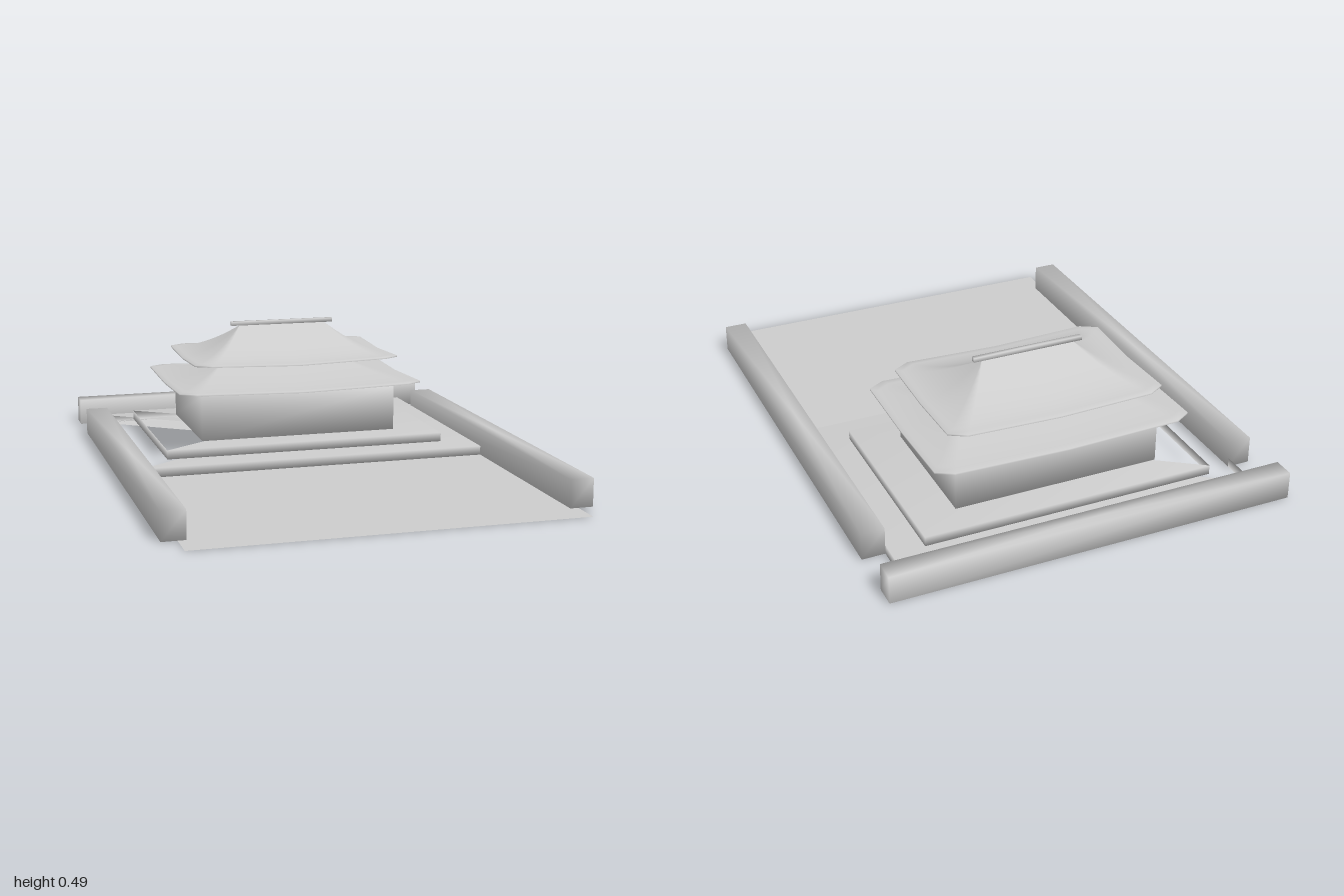
import * as THREE from 'three';

const CZ = -0.425; // depth of the hall's centre

function meshFrom(name, positions, index, material) {
  const g = new THREE.BufferGeometry();
  g.setAttribute('position', new THREE.Float32BufferAttribute(positions, 3));
  g.setIndex(index);
  g.computeVertexNormals();
  const m = new THREE.Mesh(g, material);
  m.name = name;
  return m;
}

// Softly shaded slab with fan caps; openWest leaves out the -x cap wedge
function slab(name, [x0, x1], [y0, y1], [z0, z1], material, openWest = false) {
  const corners = [[x0, z0], [x0, z1], [x1, z1], [x1, z0]];
  const pos = [], idx = [];
  for (const y of [y0, y1]) {
    for (const [x, z] of corners) pos.push(x, y, z);
    pos.push((x0 + x1) / 2, y, (z0 + z1) / 2);
  }
  for (let i = 0; i < 4; i++) {
    const j = (i + 1) % 4;
    idx.push(i, j, j + 5, i, j + 5, i + 5);
    if (openWest && i === 0) continue;
    idx.push(i + 5, j + 5, 9, j, i, 4);
  }
  return meshFrom(name, pos, idx, material);
}

// Concave hipped roof: chamfered eave rings shrinking to a ridge line
function hipRoof(name, { hx, hz, ridge, eaveY, topY, power }, material) {
  const pos = [], idx = [], steps = 12, n = 12;
  const ring = (t, drop) => {
    const w = THREE.MathUtils.lerp(hx, ridge, t), d = hz * (1 - t);
    const cx = 0.06 * (1 - t), cz = 0.035 * (1 - t);
    const y = eaveY + (topY - eaveY) * Math.pow(t, power) - drop;
    const lift = 0.005 * (1 - t);
    const points = [
      [-w, -d + cz, 1], [-w, 0, -1], [-w, d - cz, 1],
      [-w + cx, d, 1], [0, d, -1], [w - cx, d, 1],
      [w, d - cz, 1], [w, 0, -1], [w, -d + cz, 1],
      [w - cx, -d, 1], [0, -d, -1], [-w + cx, -d, 1],
    ];
    for (const [x, z, s] of points) pos.push(x, y + s * lift, CZ + z);
  };
  ring(0, 0.006); // thin eave edge
  for (let k = 0; k <= steps; k++) ring(k / steps, 0);
  for (let k = 0; k <= steps; k++) {
    for (let i = 0; i < n; i++) {
      const a = k * n + i, b = k * n + (i + 1) % n;
      idx.push(a, b, b + n, a, b + n, a + n);
    }
  }
  return meshFrom(name, pos, idx, material);
}

export function createModel() {
  const model = new THREE.Group();
  model.name = 'palaceCourtyard';
  const stone = new THREE.MeshStandardMaterial({ color: 0xcccccc, side: THREE.DoubleSide });
  stone.name = 'paleGrey';

  // Courtyard floor
  const floor = new THREE.Mesh(new THREE.PlaneGeometry(1.4, 0.93).rotateX(-Math.PI / 2), stone);
  floor.name = 'courtyardFloor';
  floor.position.z = 0.535;
  model.add(floor);

  // Stepped terraces and hall
  model.add(
    slab('lowerTerrace', [-0.67, 0.67], [0, 0.035], [-0.92, 0.07], stone, true),
    slab('upperTerrace', [-0.55, 0.55], [0.035, 0.07], [-0.8, -0.05], stone, true),
    slab('hall', [-0.39, 0.39], [0.07, 0.245], [-0.685, -0.165], stone, true),
  );

  // Two-tier roof with ridge beam
  model.add(
    hipRoof('lowerRoof', { hx: 0.485, hz: 0.342, ridge: 0.25, eaveY: 0.265, topY: 0.327, power: 1.5 }, stone),
    hipRoof('upperRoof', { hx: 0.41, hz: 0.277, ridge: 0.175, eaveY: 0.36, topY: 0.476, power: 1.75 }, stone),
    slab('ridgeBeam', [-0.21, 0.21], [0.475, 0.491], [CZ - 0.009, CZ + 0.009], stone),
  );

  // Surrounding galleries
  for (const s of [-1, 1]) {
    const xs = s < 0 ? [-0.755, -0.67] : [0.67, 0.755];
    model.add(slab(s < 0 ? 'rightGallery' : 'leftGallery', xs, [0, 0.102], [-0.74, 0.885], stone));
  }
  model.add(slab('rearGallery', [-0.755, 0.755], [0, 0.102], [-1, -0.92], stone));

  return model;
}
